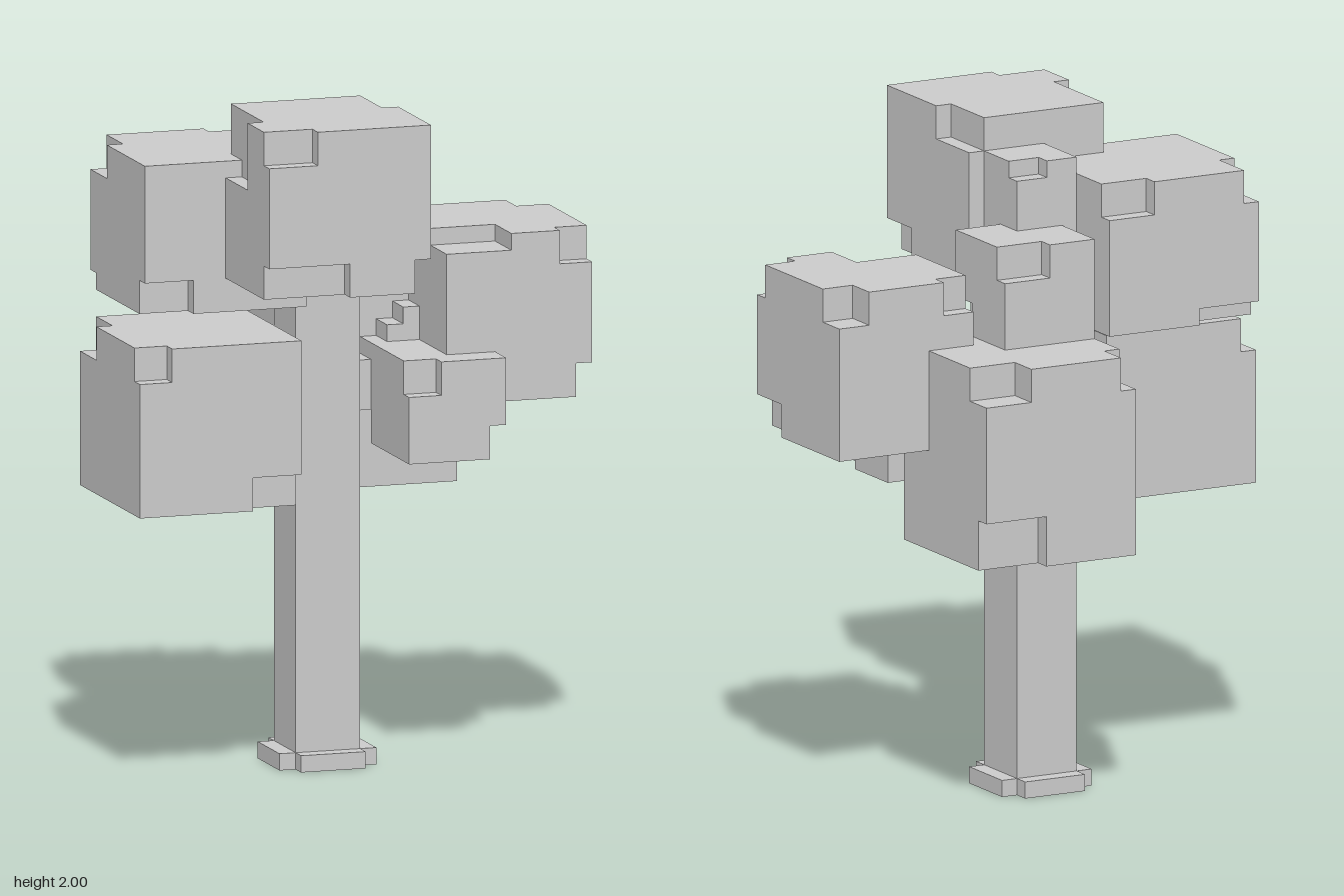
import * as THREE from 'three';

const material = new THREE.MeshStandardMaterial({ color: 0xcccccc, flatShading: true });

// Outer skin of a box [min, max] with corner notches.
// Notch: corner signs (x, y, z) followed by its width, height and depth.
function notchedGeometry(min, max, notches) {
  const cuts = notches.map((n) => [0, 1, 2].map((a) =>
    n[a] > 0 ? [max[a] - n[a + 3], max[a]] : [min[a], min[a] + n[a + 3]]));
  const lines = [0, 1, 2].map((a) => {
    const all = [min[a], max[a], ...cuts.flatMap((c) => c[a])].map((v) => +v.toFixed(3));
    return [...new Set(all)].sort((p, q) => p - q);
  });
  const solid = (cell) => {
    if (cell.some((i, a) => i < 0 || i >= lines[a].length - 1)) return false;
    const mid = cell.map((i, a) => (lines[a][i] + lines[a][i + 1]) / 2);
    return !cuts.some((c) => c.every(([lo, hi], a) => mid[a] > lo && mid[a] < hi));
  };

  const positions = [];
  const addFace = (cell, axis, side) => {
    const u = (axis + 1) % 3, v = (axis + 2) % 3;
    const corner = (du, dv) => {
      const p = [0, 0, 0];
      p[axis] = lines[axis][cell[axis] + (side > 0 ? 1 : 0)];
      p[u] = lines[u][cell[u] + du];
      p[v] = lines[v][cell[v] + dv];
      return p;
    };
    const quad = [corner(0, 0), corner(1, 0), corner(1, 1), corner(0, 1)];
    if (side < 0) quad.reverse();
    for (const i of [0, 1, 2, 0, 2, 3]) positions.push(...quad[i]);
  };

  for (let i = 0; i < lines[0].length - 1; i++)
    for (let j = 0; j < lines[1].length - 1; j++)
      for (let k = 0; k < lines[2].length - 1; k++) {
        const cell = [i, j, k];
        if (!solid(cell)) continue;
        for (let axis = 0; axis < 3; axis++)
          for (const side of [-1, 1]) {
            const next = [...cell];
            next[axis] += side;
            if (!solid(next)) addFace(cell, axis, side);
          }
      }

  const geometry = new THREE.BufferGeometry();
  geometry.setAttribute('position', new THREE.Float32BufferAttribute(positions, 3));
  geometry.computeVertexNormals();
  return geometry;
}

export function createModel() {
  const tree = new THREE.Group();
  tree.name = 'blockTree';

  const addBlock = (name, min, max, notches = [], parent = tree) => {
    const mesh = new THREE.Mesh(notchedGeometry(min, max, notches), material);
    mesh.name = name;
    parent.add(mesh);
  };

  // Trunk and its root plate with the four corners cut away
  addBlock('trunk', [-0.125, 0, -0.125], [0.075, 1.9, 0.075], [[1, 1, -1, 0.1, 0.05, 0.05]]);
  addBlock('rootPlate', [-0.175, 0, -0.175], [0.125, 0.05, 0.125],
    [[1, 1], [1, -1], [-1, 1], [-1, -1]].map(([x, z]) => [x, 1, z, 0.05, 0.05, 0.05]));

  // Stepped branches leading out to the side clumps
  const addBranch = (name, x, y, side, steps) => {
    const branch = new THREE.Group();
    branch.name = name;
    for (let i = 0; i < steps; i++) {
      const a = x + side * i * 0.05, b = a + side * 0.05, low = y + i * 0.05;
      addBlock('branchStep', [Math.min(a, b), low, -0.075], [Math.max(a, b), low + 0.15, 0.025], [], branch);
    }
    tree.add(branch);
  };
  addBranch('leftBranch', 0.075, 1.05, 1, 4);
  addBranch('rightBranch', -0.125, 0.85, -1, 2);

  // Leaf clumps
  addBlock('topLeaves', [-0.375, 1.5, 0.075], [0.125, 2, 0.575], [
    [-1, 1, 1, 0.15, 0.1, 0.05],
    [1, 1, -1, 0.05, 0.1, 0.2],
    [-1, 1, -1, 0.05, 0.2, 0.3],
    [1, -1, 1, 0.05, 0.1, 0.15],
    [-1, -1, 1, 0.25, 0.1, 0.05],
  ]);
  addBlock('upperRightLeaves', [-0.625, 1.4, -0.325], [-0.125, 1.85, 0.175], [
    [-1, -1, 1, 0.15, 0.1, 0.05],
    [-1, 1, -1, 0.05, 0.1, 0.15],
    [1, 1, -1, 0.15, 0.1, 0.05],
    [-1, -1, -1, 0.2, 0.05, 0.05],
  ]);
  addBlock('lowerRightLeaves', [-0.725, 0.85, -0.125], [-0.225, 1.35, 0.425], [
    [-1, 1, 1, 0.1, 0.1, 0.05],
    [1, -1, 1, 0.15, 0.1, 0.05],
    [-1, 1, -1, 0.05, 0.1, 0.15],
  ]);
  addBlock('leftLeaves', [0.275, 1.1, -0.225], [0.725, 1.6, 0.275], [
    [-1, 1, 1, 0.2, 0.05, 0.15],
    [1, 1, 1, 0.1, 0.1, 0.05],
    [1, -1, 1, 0.05, 0.1, 0.15],
    [1, 1, -1, 0.1, 0.1, 0.1],
    [-1, 1, -1, 0.1, 0.1, 0.05],
  ]);
  addBlock('backLeaves', [-0.075, 0.8, -0.575], [0.425, 1.4, -0.075], [
    [-1, 1, -1, 0.05, 0.1, 0.1],
    [1, 1, -1, 0.15, 0.1, 0.1],
    [1, -1, -1, 0.2, 0.15, 0.05],
  ]);
  addBlock('smallBackLeaves', [-0.075, 1.4, -0.325], [0.225, 1.7, -0.025], [
    [1, 1, -1, 0.15, 0.1, 0.05],
    [1, -1, 1, 0.05, 0.1, 0.1],
  ]);
  addBlock('smallFrontLeaves', [0.125, 0.95, 0.025], [0.425, 1.25, 0.375], [
    [-1, 1, 1, 0.1, 0.1, 0.05],
    [1, -1, 1, 0.05, 0.1, 0.15],
  ]);

  return tree;
}
